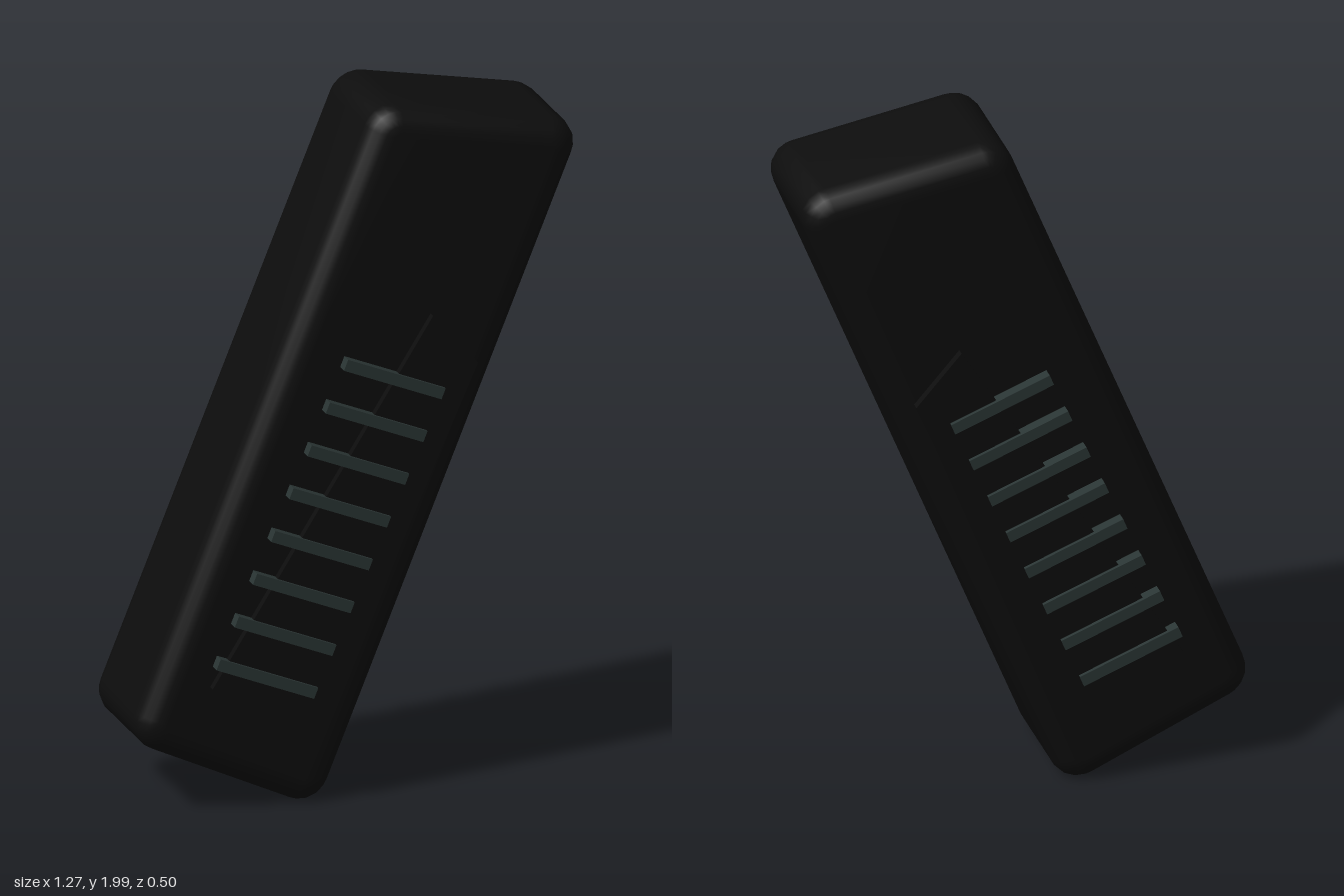
import * as THREE from 'three';
import { toCreasedNormals } from 'three/addons/utils/BufferGeometryUtils.js';

// Closed polygon whose corners are softened by a short curve of reach r
function roundedShape(corners, r) {
  const pts = corners.map(([x, y]) => new THREE.Vector2(x, y));
  const shape = new THREE.Shape();
  pts.forEach((p, i) => {
    const prev = pts[(i + pts.length - 1) % pts.length];
    const next = pts[(i + 1) % pts.length];
    const a = p.clone().add(prev.clone().sub(p).setLength(r));
    const b = p.clone().add(next.clone().sub(p).setLength(r));
    if (i === 0) shape.moveTo(a.x, a.y);
    else shape.lineTo(a.x, a.y);
    shape.quadraticCurveTo(p.x, p.y, b.x, b.y);
  });
  shape.closePath();
  return shape;
}

export function createModel() {
  const model = new THREE.Group();
  const black = new THREE.MeshStandardMaterial({ color: 0x0d0d0d });
  black.name = 'matte black';
  const slate = new THREE.MeshStandardMaterial({ color: 0x2a3534 });
  slate.name = 'dark slate';

  const add = (name, geometry, material, parent = model) => {
    const mesh = new THREE.Mesh(geometry, material);
    mesh.name = name;
    parent.add(mesh);
    return mesh;
  };

  // Slanted grip body: inner outline grown outwards by a round bevel
  const bevel = 0.07, halfDepth = 0.215;
  const outline = [[-0.575, 0.266], [-0.153, 0.072], [0.567, 1.848], [0.101, 1.932]];
  const bodyGeometry = new THREE.ExtrudeGeometry(roundedShape(outline, 0.018), {
    depth: 2 * (halfDepth - bevel), bevelEnabled: true, bevelSize: bevel,
    bevelThickness: bevel, bevelSegments: 5, curveSegments: 5,
  });
  bodyGeometry.translate(0, 0, -(halfDepth - bevel));
  add('gripBody', toCreasedNormals(bodyGeometry, 0.7), black);

  // Raised panel and ribs, repeated on both faces
  const panelShape = new THREE.Shape([[-0.44, 0.38], [-0.12, 0.232], [0.33, 1.25], [0.2, 1.4]]
    .map(([x, y]) => new THREE.Vector2(x, y)));
  const panelGeometry = new THREE.ExtrudeGeometry(panelShape, { depth: 0.04, bevelEnabled: false });
  const ribGeometry = new THREE.BoxGeometry(0.305, 0.033, 0.05);
  const ribCount = 8;

  for (const side of [1, -1]) {
    const face = new THREE.Group();
    face.name = side > 0 ? 'frontGripFace' : 'backGripFace';
    model.add(face);
    add('sidePanel', panelGeometry, black, face).position.z = side > 0 ? 0.198 : -0.238;
    for (let i = 0; i < ribCount; i++) {
      const t = i / (ribCount - 1);
      const rib = add('gripRib', ribGeometry, slate, face);
      rib.position.set(-0.285 + 0.37 * t, 0.397 + 0.833 * t, side * 0.224);
      rib.rotation.z = -0.38;
    }
  }
  return model;
}
